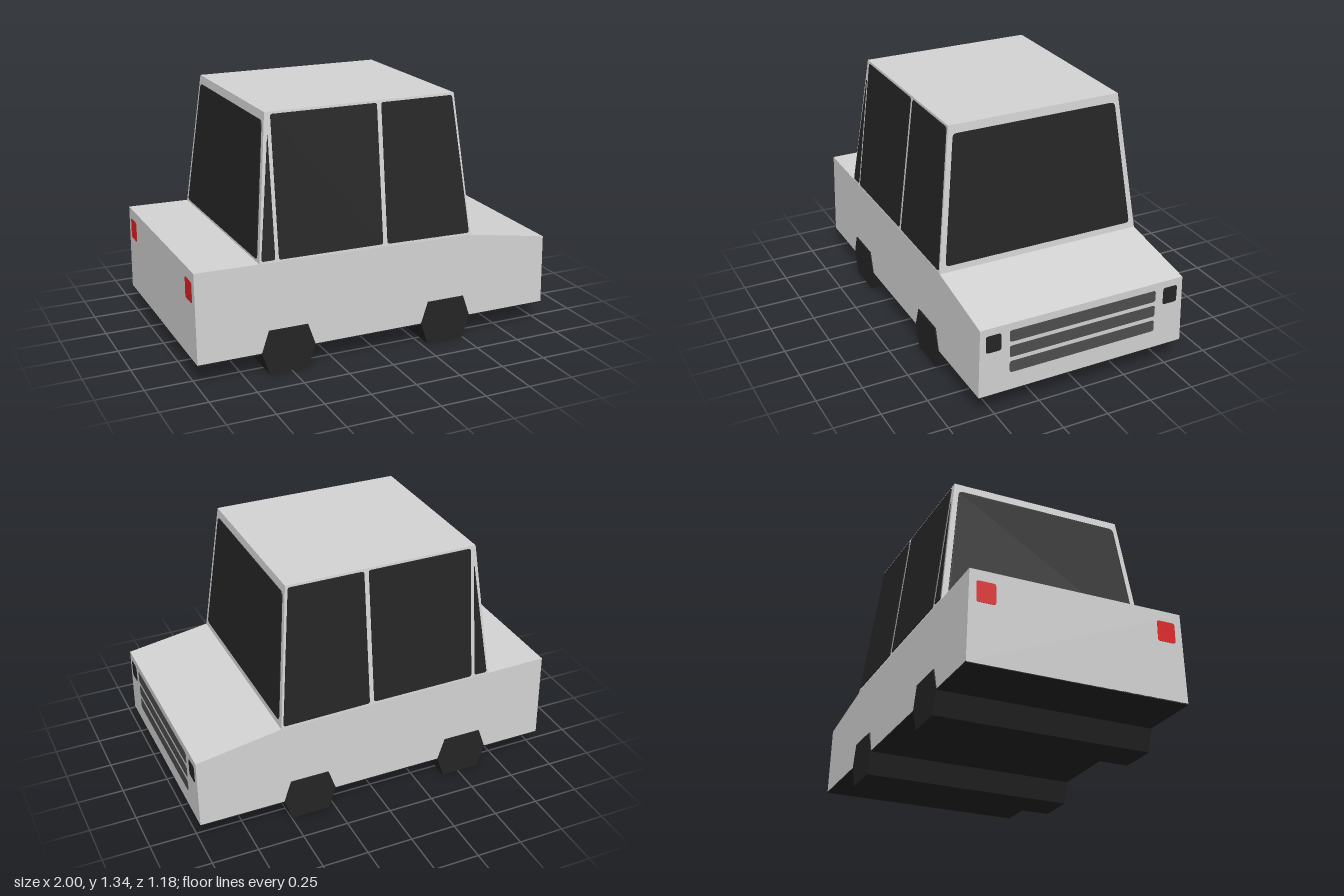
import * as THREE from 'three';

const lerpAt = (y, y0, a, y1, b) => a + (b - a) * (y - y0) / (y1 - y0);

// Half-widths and screen slopes at a given height
const bodyZ = y => lerpAt(y, 0.12, 0.588, 0.6, 0.574);
const cabinZ = y => lerpAt(y, 0.58, 0.575, 1.335, 0.48);
const windscreenX = y => lerpAt(y, 0.575, 0.54, 1.335, 0.465);
const rearScreenX = y => lerpAt(y, 0.595, -0.66, 1.335, -0.585);

// Closed outline with slightly rounded corners
function roundedShape(pts, r) {
  const v = pts.map(p => new THREE.Vector2(...p));
  const shape = new THREE.Shape();
  v.forEach((p, i) => {
    const prev = v[(i + v.length - 1) % v.length], next = v[(i + 1) % v.length];
    const a = p.clone().add(prev.clone().sub(p).setLength(r));
    const b = p.clone().add(next.clone().sub(p).setLength(r));
    if (i) shape.lineTo(a.x, a.y); else shape.moveTo(a.x, a.y);
    shape.quadraticCurveTo(p.x, p.y, b.x, b.y);
  });
  shape.closePath();
  return shape;
}

// Move every vertex by a rule and refresh the flat normals
function remap(geo, rule) {
  const pos = geo.attributes.position;
  for (let i = 0; i < pos.count; i++) {
    pos.setXYZ(i, ...rule(pos.getX(i), pos.getY(i), pos.getZ(i)));
  }
  geo.computeVertexNormals();
  return geo;
}

// Side profile extruded across the car, with half-width set by height
function hull(profile, halfWidth) {
  const shape = new THREE.Shape(profile.map(p => new THREE.Vector2(...p)));
  const geo = new THREE.ExtrudeGeometry(shape, { depth: 2, bevelEnabled: false });
  return remap(geo, (x, y, z) => [x, y, (z - 1) * halfWidth(y)]);
}

// Thin plate lying on a sloped surface
function plate(pts, rule, r = 0.012) {
  const geo = new THREE.ExtrudeGeometry(roundedShape(pts, r), { depth: 0.006, bevelEnabled: false, curveSegments: 3 });
  return remap(geo, (u, v, d) => rule(u, v, d - 0.002));
}

const rect = (u0, u1, v0, v1) => [[u0, v0], [u1, v0], [u1, v1], [u0, v1]];

export function createModel() {
  const car = new THREE.Group();
  car.name = 'car';
  const material = (name, color) => {
    const m = new THREE.MeshStandardMaterial({ color });
    m.name = name;
    return m;
  };
  const paint = material('light grey paint', 0xd4d4d4);
  const dark = material('near black', 0x252525);
  const grey = material('grille grey', 0x4e4e4e);
  const red = material('tail light red', 0xe02222);

  const add = (name, geo, mat) => {
    const mesh = new THREE.Mesh(geo, mat);
    mesh.name = name;
    car.add(mesh);
    return mesh;
  };

  // Lower body and cabin
  add('lowerBody', hull([[-1, 0.12], [1, 0.12], [1, 0.5], [0.54, 0.575], [-0.66, 0.595], [-1, 0.6]], bodyZ), paint);
  add('cabin', hull([[-0.66, 0.595], [0.54, 0.575], [0.465, 1.335], [-0.585, 1.335]], cabinZ), paint);

  // Dark underside
  add('underside', new THREE.BoxGeometry(2, 0.006, 1.176), dark).position.y = 0.119;

  // Six-sided wheels joined across the full width
  const wheelProfile = [[-0.147, 0.12], [-0.106, 0], [0.106, 0], [0.147, 0.12], [0.106, 0.238], [-0.106, 0.238]];
  [['rearWheels', -0.514], ['frontWheels', 0.392]].forEach(([name, x]) => {
    add(name, hull(wheelProfile, () => 0.591), dark).position.x = x;
  });

  // Side windows, the same on both sides
  const sideWindows = {
    quarterWindow: [[-0.649, 0.606], [-0.576, 0.606], [-0.576, 1.23]],
    rearDoorWindow: [[-0.555, 0.604], [0.02, 0.6], [0.02, 1.323], [-0.555, 1.323]],
    frontDoorWindow: [[0.046, 0.598], [0.528, 0.59], [0.452, 1.323], [0.046, 1.323]],
  };
  for (const s of [1, -1]) {
    for (const [name, pts] of Object.entries(sideWindows)) {
      const geo = plate(pts.map(([x, y]) => [x * s, y]), (u, v, d) => [u * s, v, s * (cabinZ(v) + d)]);
      add(name, geo, dark);
    }
  }

  // Windscreen and rear window
  const screen = [[-0.54, 0.61], [0.54, 0.61], [0.458, 1.29], [-0.458, 1.29]];
  add('windscreen', plate(screen, (u, v, d) => [windscreenX(v) + d, v, -u], 0.02), dark);
  add('rearWindow', plate(screen, (u, v, d) => [rearScreenX(v) - d, v, u], 0.02), dark);

  // Nose: grille bars and headlights
  const onNose = (u, v, d) => [1 + d - 0.004, v, -u];
  for (const y of [0.252, 0.34, 0.427]) {
    add('grilleBar', plate(rect(-0.417, 0.417, y - 0.032, y + 0.032), onNose), grey);
  }
  // Tail: red lights
  const onTail = (u, v, d) => [-1 - d + 0.004, v, u];
  for (const s of [-1, 1]) {
    add('headlight', plate(rect(s * 0.505 - 0.041, s * 0.505 + 0.041, 0.365, 0.46), onNose), dark);
    add('tailLight', plate(rect(s * 0.488 - 0.05, s * 0.488 + 0.05, 0.432, 0.543), onTail), red);
  }
  // Plates on nose and tail sit just proud of the ends
  car.children.forEach(m => {
    if (m.name === 'grilleBar' || m.name === 'headlight') m.position.x = 0.002;
    if (m.name === 'tailLight') m.position.x = -0.002;
  });
  return car;
}
